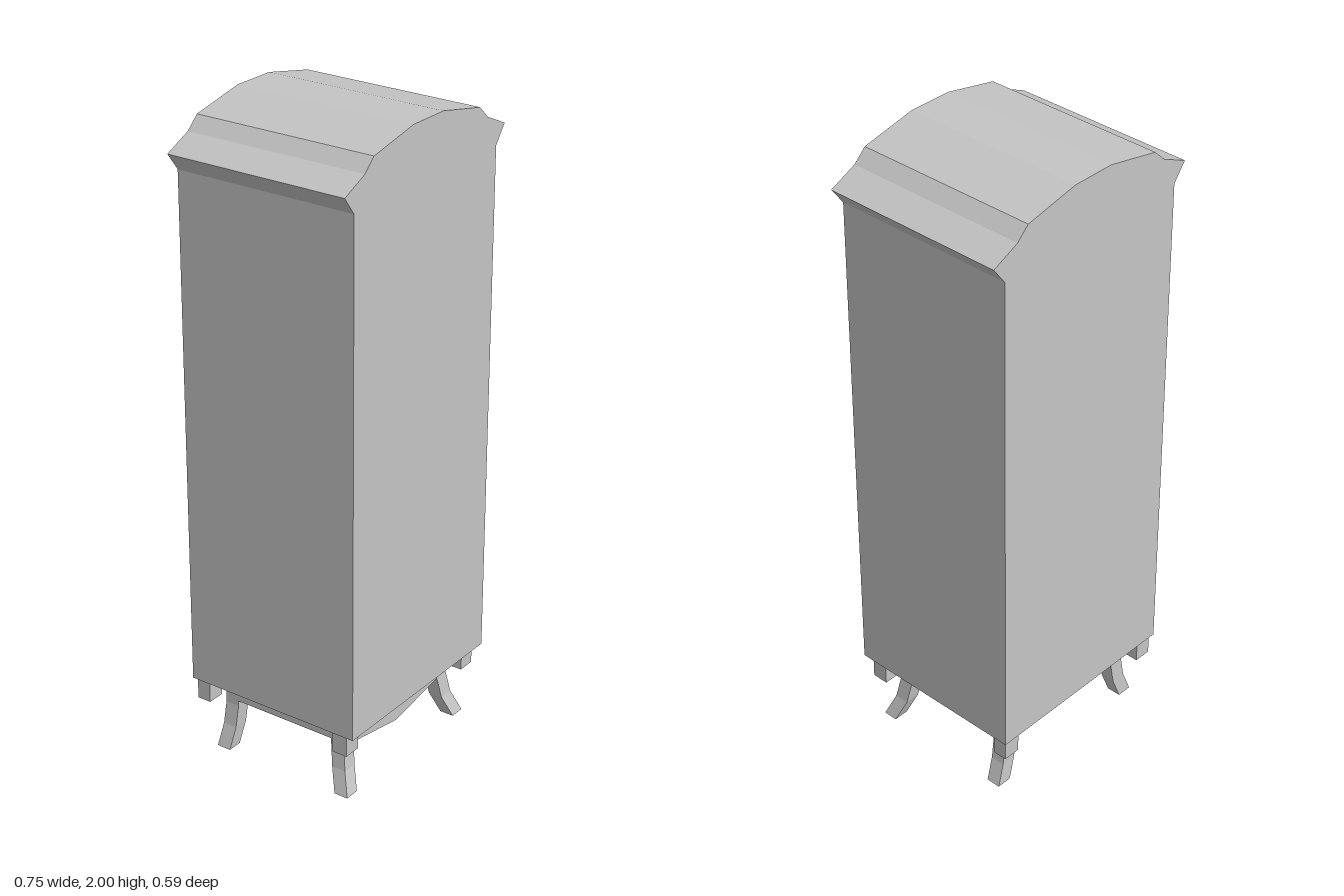
import * as THREE from 'three';

const grey = new THREE.MeshStandardMaterial({ color: 0xc4c4c4, flatShading: true });
grey.name = 'plain grey';

function add(group, name, geometry) {
  const mesh = new THREE.Mesh(geometry, grey);
  mesh.name = name;
  group.add(mesh);
  return mesh;
}

// Solid with a front outline, running from z0 to z1
function slab(points, z0, z1) {
  const shape = new THREE.Shape(points.map(([x, y]) => new THREE.Vector2(x, y)));
  const geometry = new THREE.ExtrudeGeometry(shape, { depth: z1 - z0, bevelEnabled: false });
  return geometry.translate(0, 0, z0);
}

// Box given by its limits
function block(x0, x1, y0, y1, z0, z1) {
  return new THREE.BoxGeometry(x1 - x0, y1 - y0, z1 - z0)
    .translate((x0 + x1) / 2, (y0 + y1) / 2, (z0 + z1) / 2);
}

// Square leg that curves outwards towards the foot
function legGeometry(side, zMid, zFlare) {
  const levels = [0.2, 0.14, 0.07, 0];
  const flare = [0, 0, 0.3, 1];
  const geometry = new THREE.BoxGeometry(0.048, 1, 0.046, 1, 3, 1);
  const pos = geometry.attributes.position;
  for (let i = 0; i < pos.count; i++) {
    const row = Math.round((0.5 - pos.getY(i)) * 3);
    pos.setXYZ(i,
      pos.getX(i) + side * (0.241 + 0.036 * flare[row]),
      levels[row],
      pos.getZ(i) + zMid + zFlare * flare[row]);
  }
  geometry.computeVertexNormals();
  return geometry;
}

export function createModel() {
  const model = new THREE.Group();
  model.name = 'cabinet';

  // Tall case with the flared, arched cornice
  const half = [[0.336, 0.233], [0.336, 1.83], [0.377, 1.885], [0.289, 1.925], [0.249, 1.963], [0.07, 2]];
  const mirrored = half.map(([x, y]) => [-x, y]).reverse();
  add(model, 'caseAndCornice', slab([...half, ...mirrored], -0.293, 0.293));

  // Recessed base and pointed front apron
  add(model, 'base', block(-0.265, 0.265, 0.157, 0.233, -0.225, 0.21));
  add(model, 'frontApron', slab(
    [[-0.22, 0.137], [0, 0.1], [0.22, 0.137], [0.22, 0.2], [-0.22, 0.2]], 0.175, 0.21));

  // Legs and corner blocks
  for (const side of [1, -1]) {
    const name = side > 0 ? 'left' : 'right';
    add(model, name + 'FrontLeg', legGeometry(side, 0.188, 0.038));
    add(model, name + 'BackLeg', legGeometry(side, -0.202, -0.008));
    const [x0, x1] = side > 0 ? [0.27, 0.326] : [-0.326, -0.27];
    add(model, name + 'FrontBlock', block(x0, x1, 0.163, 0.233, 0.212, 0.264));
    add(model, name + 'BackBlock', block(x0, x1, 0.163, 0.233, -0.283, -0.238));
  }
  return model;
}
